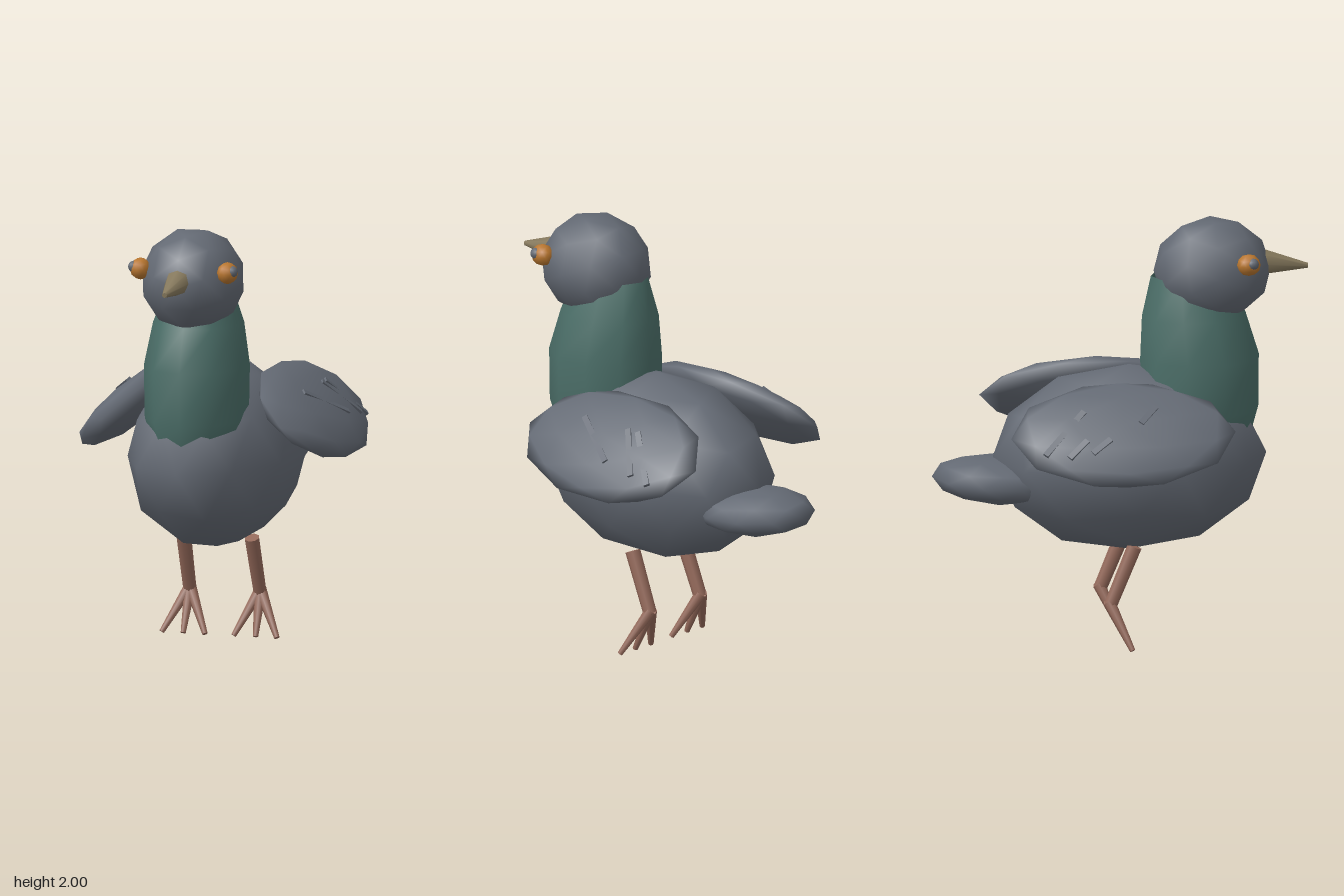
import * as THREE from 'three';
import { mergeVertices } from 'three/addons/utils/BufferGeometryUtils.js';

const material = (name, color, side = THREE.FrontSide) => {
  const m = new THREE.MeshStandardMaterial({ color, side });
  m.name = name;
  return m;
};

export function createModel() {
  const model = new THREE.Group();
  model.name = 'bird';
  const grey = material('plumage grey', 0x646a74);
  const green = material('neck green', 0x4b6e68, THREE.DoubleSide);
  const orange = material('eye orange', 0xb8762f);
  const tan = material('beak tan', 0x877a5e);
  const brown = material('leg brown', 0x94695a);

  const add = (name, geometry, mat, parent = model) => {
    const mesh = new THREE.Mesh(geometry, mat);
    mesh.name = name;
    parent.add(mesh);
    return mesh;
  };

  // Smooth-shaded, low-poly ball with one vertex at its top pole
  const ball = () => new THREE.IcosahedronGeometry(1, 1)
    .rotateX(-Math.atan((1 + Math.sqrt(5)) / 2))
    .rotateY(Math.PI / 2);
  const ellipsoid = (name, mat, pos, radii, parent, geometry = ball()) => {
    const mesh = add(name, geometry, mat, parent);
    mesh.position.set(...pos);
    mesh.scale.set(...radii);
    return mesh;
  };

  // Tapered rod from point a to point b
  const rod = (name, mat, a, b, ra, rb, sides = 8) => {
    const from = new THREE.Vector3(...a), to = new THREE.Vector3(...b);
    const dir = to.clone().sub(from);
    const mesh = add(name, new THREE.CylinderGeometry(rb, ra, dir.length(), sides), mat);
    mesh.position.copy(from).add(to).multiplyScalar(0.5);
    mesh.quaternion.setFromUnitVectors(new THREE.Vector3(0, 1, 0), dir.normalize());
    return mesh;
  };

  // Body, tail and head
  ellipsoid('body', grey, [-0.005, 0.875, 0.04], [0.395, 0.445, 0.65]);
  const tail = ellipsoid('tail', grey, [0, 0.785, -0.58], [0.245, 0.11, 0.31]);
  tail.rotation.x = 0.08;
  ellipsoid('head', grey, [0, 1.765, 0.435], [0.245, 0.247, 0.277], model,
    ball().rotateY(Math.PI / 10).rotateX(Math.PI / 2));

  // Neck: oval cross-sections as [y, centre z, x radius, z radius]
  const rings = [
    [1.74, 0.33, 0.14, 0.185], [1.55, 0.348, 0.21, 0.245], [1.35, 0.375, 0.245, 0.28],
    [1.1, 0.375, 0.24, 0.278], [0.98, 0.37, 0.2, 0.25],
  ];
  let neck = new THREE.CylinderGeometry(1, 1, 1, 10, rings.length - 1, true);
  const p = neck.attributes.position;
  for (let i = 0; i < p.count; i++) {
    const [y, z, rx, rz] = rings[Math.round((0.5 - p.getY(i)) * (rings.length - 1))];
    p.setXYZ(i, p.getX(i) * rx, y, z + p.getZ(i) * rz);
  }
  neck.deleteAttribute('uv');
  neck.deleteAttribute('normal');
  neck = mergeVertices(neck);
  neck.computeVertexNormals();
  add('neck', neck, green);

  // Beak
  rod('beak', tan, [0, 1.79, 0.67], [0, 1.765, 0.886], 0.062, 0.012);

  // Raised feather marks on each wing, as [x1, z1, x2, z2] seen from above
  const marks = {
    1: [[0.60, -0.43, 0.43, -0.24], [0.59, -0.33, 0.43, -0.18], [0.57, -0.16, 0.43, 0.1]],
    [-1]: [[-0.58, -0.43, -0.42, -0.23], [-0.6, -0.32, -0.54, -0.23],
      [-0.59, -0.21, -0.54, -0.12], [-0.48, 0.03, -0.41, 0.11]],
  };
  const tilt = 0.74, span = 0.295, thick = 0.095, reach = 0.53;

  for (const s of [1, -1]) {
    const side = s > 0 ? 'left' : 'right';

    // Wing, sloping down and outward
    const wing = new THREE.Group();
    wing.name = side + 'Wing';
    wing.position.set(s * 0.433, 1.085, -0.06 + s * -0.015);
    wing.rotation.z = -s * tilt;
    model.add(wing);
    ellipsoid(side + 'WingFeathers', grey, [0, 0, 0], [span, thick, reach], wing);
    const onWing = (x, z) => {
      const u = (x - wing.position.x - s * 0.05) / Math.cos(tilt), w = z - wing.position.z;
      const h = Math.sqrt(Math.max(0.05, 1 - (u / span) ** 2 - (w / reach) ** 2));
      return new THREE.Vector3(u, h * thick * 0.95, w);
    };
    for (const [x1, z1, x2, z2] of marks[s]) {
      const a = onWing(x1, z1), b = onWing(x2, z2);
      const mark = add(side + 'FeatherMark',
        new THREE.BoxGeometry(0.028, 0.018, a.distanceTo(b)), grey, wing);
      mark.position.copy(a).add(b).multiplyScalar(0.5);
      mark.quaternion.setFromUnitVectors(new THREE.Vector3(0, 0, 1), b.sub(a).normalize());
    }

    // Eye and pupil
    ellipsoid(side + 'Eye', orange, [s * 0.213, 1.83, 0.578], [0.05, 0.052, 0.056]);
    ellipsoid(side + 'Pupil', grey, [s * 0.242, 1.84, 0.594], [0.026, 0.028, 0.028]);

    // Leg and three toes
    rod(side + 'Leg', brown, [s * 0.167, 0.48, 0.045], [s * 0.172, 0.2, -0.07], 0.036, 0.032);
    for (const x of [0.07, 0.177, 0.282])
      rod(side + 'Toe', brown, [s * 0.172, 0.215, -0.075], [s * x, 0.006, 0.02], 0.029, 0.013);
  }
  return model;
}
